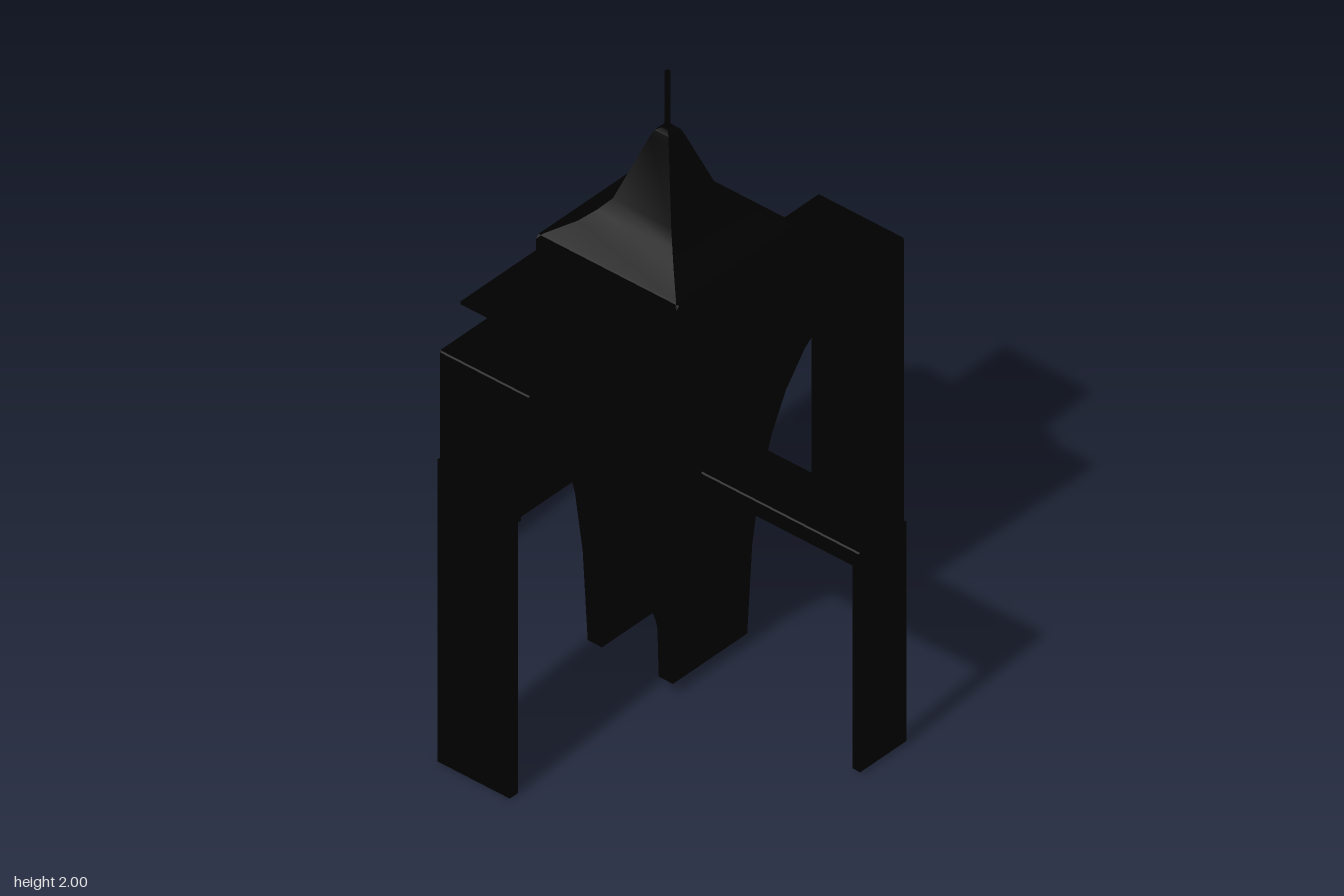
import * as THREE from 'three';
import { toCreasedNormals } from 'three/addons/utils/BufferGeometryUtils.js';

const CX = -0.045; // tower axis in x
const material = new THREE.MeshStandardMaterial({ color: 0x000000 });

function part(name, geometry) {
  const mesh = new THREE.Mesh(geometry, material);
  mesh.name = name;
  return mesh;
}

function shapeOf(points) {
  return new THREE.Shape(points.map(([x, y]) => new THREE.Vector2(x, y)));
}

// Square tower section from [half width, height] points, bottom to top
function squareLoft(points) {
  const profile = points.map(([h, y]) => new THREE.Vector2(h * Math.SQRT2, y));
  return toCreasedNormals(new THREE.LatheGeometry(profile, 4, Math.PI / 4), 0.5);
}

// Base with an arched passage running through along z; its ends follow the taper
function baseGeometry() {
  const y0 = 0.04, y1 = 0.35, h0 = 0.158, h1 = 0.168, door = 0.105, spring = 0.2;
  const shape = new THREE.Shape();
  shape.moveTo(door, y0);
  shape.lineTo(h0, y0);
  shape.lineTo(h1, y1);
  shape.lineTo(-h1, y1);
  shape.lineTo(-h0, y0);
  shape.lineTo(-door, y0);
  shape.lineTo(-door, spring);
  shape.absarc(0, spring, door, Math.PI, 0, true);
  shape.lineTo(door, y0);
  const geometry = new THREE.ExtrudeGeometry(shape, { depth: 2, bevelEnabled: false, curveSegments: 16 });
  geometry.translate(0, 0, -1);
  const pos = geometry.attributes.position;
  for (let i = 0; i < pos.count; i++) {
    const t = (pos.getY(i) - y0) / (y1 - y0);
    pos.setZ(i, pos.getZ(i) * (h0 + (h1 - h0) * t));
  }
  return toCreasedNormals(geometry, 0.5);
}

// Deck and outer leg as one bent slab, reaching along +x before it is turned
function buttress({ name, reach, top, under, leg, foot, width, angle, x = 0, z = 0 }) {
  const b = 0.004;
  const shape = shapeOf([
    [0.1, under + b], [reach - leg + b, under + b], [reach - leg + b, foot + b],
    [reach - b, foot + b], [reach - b, top - b], [0.1, top - b],
  ]);
  const geometry = new THREE.ExtrudeGeometry(shape, {
    depth: width - 2 * b, bevelThickness: b, bevelSize: b, bevelSegments: 1,
  });
  geometry.translate(0, 0, -width / 2 + b);
  const mesh = part(name, geometry);
  mesh.rotation.y = angle;
  mesh.position.set(x, 0, z);
  return mesh;
}

// Lookout wall with a window open down to the platform
function lookoutWall(windowHalf, windowTop) {
  const h = 0.26, y0 = 1.225, y1 = 1.45;
  const shape = shapeOf([
    [-h, y0], [-windowHalf, y0], [-windowHalf, windowTop], [windowHalf, windowTop],
    [windowHalf, y0], [h, y0], [h, y1 - 0.012], [h - 0.01, y1], [-h + 0.01, y1], [-h, y1 - 0.012],
  ]);
  const geometry = new THREE.ExtrudeGeometry(shape, { depth: 0.06, bevelEnabled: false });
  geometry.translate(0, 0, h - 0.06);
  return geometry;
}

export function createModel() {
  const model = new THREE.Group();
  model.name = 'watchtower';

  const tower = new THREE.Group();
  tower.name = 'tower';
  tower.position.x = CX;
  model.add(tower);

  tower.add(part('archedBase', baseGeometry()));

  // Flaring shaft ending in the flat platform
  tower.add(part('flaredShaft', squareLoft([
    [0, 0.35], [0.168, 0.35], [0.183, 0.55], [0.207, 0.73], [0.235, 0.88], [0.272, 1.02],
    [0.305, 1.11], [0.34, 1.165], [0.375, 1.195], [0.41, 1.222], [0.41, 1.232], [0, 1.232],
  ])));

  // Four lookout walls
  const lookout = new THREE.Group();
  lookout.name = 'lookout';
  for (let i = 0; i < 4; i++) {
    const wall = part('lookoutWall', i % 2 ? lookoutWall(0.15, 1.357) : lookoutWall(0.135, 1.367));
    wall.rotation.y = i * Math.PI / 2;
    lookout.add(wall);
  }
  tower.add(lookout);

  // Ceiling and swept roof in one piece
  tower.add(part('roof', squareLoft([
    [0, 1.368], [0.22, 1.368], [0.22, 1.44], [0.257, 1.445], [0.245, 1.456], [0.178, 1.495],
    [0.14, 1.53], [0.108, 1.568], [0.034, 1.78], [0.026, 1.799], [0.012, 1.807], [0, 1.808],
  ])));

  const mast = part('mast', new THREE.CylinderGeometry(0.009, 0.009, 0.22, 12));
  mast.position.y = 1.89;
  tower.add(mast);

  // Buttresses on the four sides
  const q = Math.PI / 2;
  [
    { name: 'leftButtress', reach: 0.755, top: 0.77, under: 0.713, leg: 0.028, foot: 0.01, width: 0.205, angle: 0 },
    { name: 'rightButtress', reach: 0.76, top: 0.77, under: 0.713, leg: 0.046, foot: 0.04, width: 0.3, angle: 2 * q },
    { name: 'frontButtress', reach: 0.825, top: 1.047, under: 0.95, leg: 0.034, foot: 0, width: 0.275, angle: -q, x: CX },
    { name: 'backButtress', reach: 0.825, top: 1.042, under: 0.955, leg: 0.03, foot: 0, width: 0.322, angle: q, x: CX },
  ].forEach((spec) => model.add(buttress(spec)));

  return model;
}
